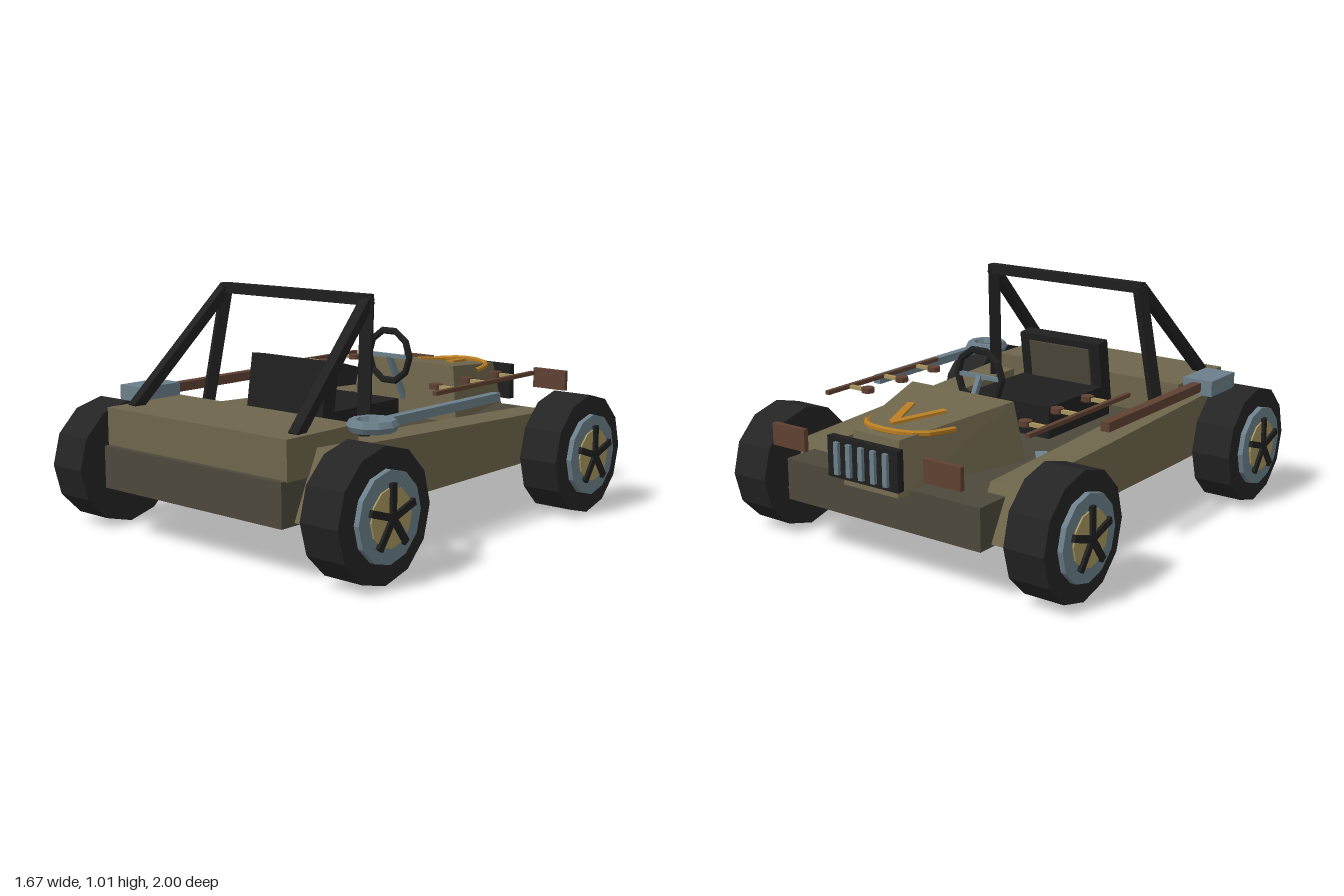
import * as THREE from 'three';

const mat = (name, color) => {
  const m = new THREE.MeshStandardMaterial({ color, flatShading: true });
  m.name = name;
  return m;
};

export function createModel() {
  const root = new THREE.Group();
  root.name = 'buggy';
  const olive = mat('olive paint', 0x6e654b);
  const drab = mat('dark drab', 0x4d483b);
  const rubber = mat('black rubber', 0x242424);
  const black = mat('black frame', 0x1f1f1f);
  const steel = mat('blue steel', 0x6b7f8a);
  const tan = mat('tan hub', 0xa8965f);
  const brown = mat('brown wood', 0x5f4132);
  const orange = mat('orange trim', 0xb87d22);

  const add = (name, geo, material, parent = root) => {
    const m = new THREE.Mesh(geo, material);
    m.name = name;
    parent.add(m);
    return m;
  };
  // box given by its min and max on each axis
  const box = (name, material, x0, x1, y0, y1, z0, z1, parent) => {
    const m = add(name, new THREE.BoxGeometry(x1 - x0, y1 - y0, z1 - z0), material, parent);
    m.position.set((x0 + x1) / 2, (y0 + y1) / 2, (z0 + z1) / 2);
    return m;
  };
  // six-sided block whose corners follow a rule of the signs of x, y, z
  const block = (name, material, rule) => {
    const g = new THREE.BoxGeometry(2, 2, 2);
    const p = g.attributes.position;
    for (let i = 0; i < p.count; i++) p.setXYZ(i, ...rule(p.getX(i), p.getY(i), p.getZ(i)));
    g.computeVertexNormals();
    return add(name, g, material);
  };
  // rectangular bar between two points
  const bar = (name, material, a, b, w, h = w) => {
    const A = new THREE.Vector3(...a), B = new THREE.Vector3(...b);
    const m = add(name, new THREE.BoxGeometry(w, h, A.distanceTo(B)), material);
    m.position.copy(A).lerp(B, 0.5);
    m.lookAt(B);
    return m;
  };

  // chassis and rear deck
  box('chassis', drab, -0.495, 0.495, 0.205, 0.38, -0.895, 0.968);
  box('rearDeck', olive, -0.5, 0.5, 0.375, 0.535, 0.545, 0.943);

  // hood, narrowing towards the nose
  block('hood', olive, (x, y, z) => {
    const top = y > 0, back = z > 0;
    const w = back ? (top ? 0.265 : 0.308) : (top ? 0.115 : 0.14);
    const h = top ? (back ? 0.628 : 0.57) : 0.355;
    return [x * w, h, back ? (top ? -0.375 : -0.345) : (top ? -0.9 : -0.943)];
  });

  // curved trim and chevron on the hood
  const arc = new THREE.CatmullRomCurve3([
    [-0.187, 0.567, -0.655], [-0.15, 0.575, -0.79], [-0.09, 0.58, -0.842], [0, 0.583, -0.86],
    [0.09, 0.58, -0.842], [0.15, 0.575, -0.79], [0.187, 0.567, -0.655],
  ].map((p) => new THREE.Vector3(...p)));
  add('hoodTrim', new THREE.TubeGeometry(arc, 10, 0.013, 6), orange);
  bar('chevronLeg', orange, [-0.085, 0.608, -0.585], [0.027, 0.587, -0.785], 0.034, 0.012);
  bar('chevronLeg', orange, [0.093, 0.608, -0.585], [0.024, 0.588, -0.775], 0.034, 0.012);

  // grille with upright bars
  box('grille', black, -0.178, 0.178, 0.395, 0.56, -0.985, -0.952);
  for (let i = -2; i <= 2; i++) {
    box('grilleBar', steel, i * 0.062 - 0.011, i * 0.062 + 0.011, 0.412, 0.543, -1, -0.98);
  }

  // seat with forward-leaning back
  box('seatBase', black, -0.215, 0.215, 0.38, 0.52, -0.055, 0.42);
  const back = new THREE.Group();
  back.name = 'seatBack';
  back.position.set(0, 0.575, 0.385);
  back.rotation.x = -0.15;
  root.add(back);
  box('backrest', black, -0.213, 0.213, -0.15, 0.15, -0.035, 0.035, back);
  box('backrestPanel', drab, -0.16, 0.16, -0.07, 0.12, -0.043, -0.034, back);

  // steering wheel and column
  const wheel = add('steeringWheel', new THREE.TorusGeometry(0.116, 0.016, 6, 10), black);
  wheel.position.set(0, 0.665, -0.253);
  bar('steeringColumn', steel, [0, 0.665, -0.253], [0, 0.42, -0.385], 0.022);
  box('steeringSpoke', steel, -0.11, 0.11, 0.656, 0.674, -0.26, -0.246);

  // roll cage crossbar
  box('rollCrossbar', black, -0.41, 0.41, 0.967, 1.01, 0.345, 0.388);

  for (const s of [1, -1]) {
    // side pod
    block('sidePod', olive, (x, y, z) => {
      const outer = x * s > 0, top = y > 0, rear = z > 0;
      const X = outer ? (top ? 0.558 : 0.568) + (rear ? 0.012 : 0) : 0.41;
      const Y = top ? (rear ? 0.48 : 0.418) : 0.217;
      return [s * X, Y, rear ? (top ? 0.78 : 0.9) : (top ? -0.72 : -0.83)];
    });

    // roll cage legs
    bar('rollPost', black, [s * 0.443, 0.45, 0.448], [s * 0.392, 0.995, 0.366], 0.05, 0.045);
    bar('rollBrace', black, [s * 0.45, 0.525, 0.845], [s * 0.397, 0.99, 0.366], 0.045, 0.042);

    // nose lamps
    box('lamp', brown, s * 0.39 - 0.087, s * 0.39 + 0.087, 0.465, 0.557, -0.985, -0.964);

    // side rail on three pegs
    box('sideRail', brown, s * 0.516 - 0.01, s * 0.516 + 0.01, 0.585, 0.602, -0.63, 0.09);
    for (const z of [-0.495, -0.277, -0.058]) {
      box('railPeg', tan, s * 0.457 - 0.05, s * 0.457 + 0.05, 0.585, 0.6, z - 0.009, z + 0.009);
      const knob = add('railKnob', new THREE.CylinderGeometry(0.028, 0.028, 0.022, 8), brown);
      knob.position.set(s * 0.41, 0.594, z);
    }

    // suspension arms
    bar('frontArm', steel, [s * 0.63, 0.27, -0.615], [s * 0.305, 0.37, -0.24], 0.05);
    bar('rearArm', steel, [s * 0.63, 0.27, 0.72], [s * 0.45, 0.31, 0.6], 0.05);

    // wheels, built along +x and turned for the other side
    for (const z of [-0.655, 0.74]) {
      const w = new THREE.Group();
      w.name = z < 0 ? 'frontWheel' : 'rearWheel';
      w.position.set(s * 0.705, 0.261, z);
      w.rotation.y = s > 0 ? 0 : Math.PI;
      root.add(w);
      const disc = (name, m, r, x0, x1, sides) => {
        const d = add(name, new THREE.CylinderGeometry(r, r, x1 - x0, sides), m, w);
        d.rotation.z = Math.PI / 2;
        d.position.x = (x0 + x1) / 2;
      };
      disc('tyre', rubber, 0.261, -0.09, 0.09, 12);
      disc('rim', steel, 0.177, 0.06, 0.113, 12);
      disc('hub', tan, 0.115, 0.1, 0.12, 12);
      for (let i = 0; i < 5; i++) {
        const a = (i * Math.PI * 2) / 5;
        const spoke = add('spoke', new THREE.BoxGeometry(0.016, 0.13, 0.028), black, w);
        spoke.position.set(0.124, Math.cos(a) * 0.065, Math.sin(a) * 0.065);
        spoke.rotation.x = a;
      }
    }
  }

  // mallet carried on the right side
  box('malletHandle', brown, -0.627, -0.585, 0.528, 0.568, -0.23, 0.53);
  box('malletHead', steel, -0.68, -0.537, 0.513, 0.582, 0.515, 0.725);

  // ring spanner carried on the left side
  box('spannerShaft', steel, 0.584, 0.622, 0.532, 0.568, -0.225, 0.51);
  const ring = add('spannerRing', new THREE.TorusGeometry(0.076, 0.026, 6, 10), steel);
  ring.rotation.x = Math.PI / 2;
  ring.position.set(0.604, 0.55, 0.585);

  return root;
}
